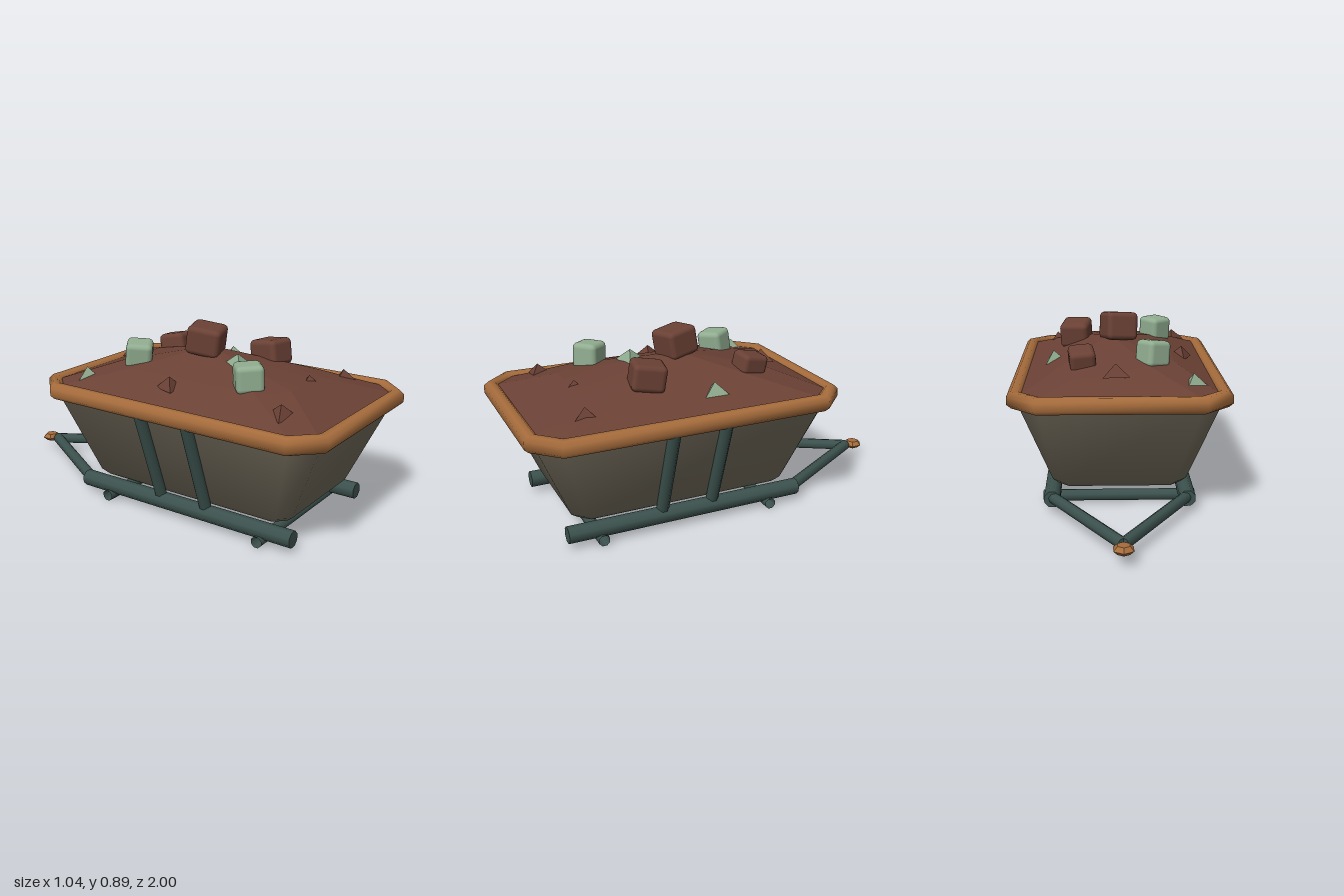
import * as THREE from 'three';
import { RoundedBoxGeometry } from 'three/addons/geometries/RoundedBoxGeometry.js';
import { toCreasedNormals } from 'three/addons/utils/BufferGeometryUtils.js';

const MID_Z = 0.22; // centre of the tub along z

const mat = (name, color, side = THREE.FrontSide) => {
  const m = new THREE.MeshStandardMaterial({ color, side });
  m.name = name;
  return m;
};

// Rectangle with cut corners, as eight [x, z] points
function octagon(hx, hz, c) {
  return [[hx, -hz + c], [hx, hz - c], [hx - c, hz], [-hx + c, hz],
    [-hx, hz - c], [-hx, -hz + c], [-hx + c, -hz], [hx - c, -hz]];
}

// Skin through rings of eight points; each ring is a list of [x, y, z]
function loft(rings, closed = false) {
  const pos = rings.flat(2), index = [], n = 8;
  const count = closed ? rings.length : rings.length - 1;
  for (let j = 0; j < count; j++) {
    const lo = j * n, hi = ((j + 1) % rings.length) * n;
    for (let k = 0; k < n; k++) {
      const q = (k + 1) % n;
      index.push(lo + k, hi + k, lo + q, lo + q, hi + k, hi + q);
    }
  }
  const g = new THREE.BufferGeometry();
  g.setAttribute('position', new THREE.Float32BufferAttribute(pos, 3));
  g.setIndex(index);
  g.computeVertexNormals();
  return g;
}

const ring = (hx, hz, c, y, dx = 0, dz = 0) =>
  octagon(hx, hz, c).map(([x, z]) => [x + dx, y, z + MID_Z + dz]);

export function createModel() {
  const model = new THREE.Group();
  model.name = 'oreCart';
  const orange = mat('rust orange', 0xa66c3c);
  const teal = mat('dark teal', 0x3c524e, THREE.DoubleSide);
  const grey = mat('warm grey', 0x777060);
  const brown = mat('earth brown', 0x6b4135);
  const green = mat('pale green', 0x91ad90);

  const add = (name, geometry, material, parent = model) => {
    const m = new THREE.Mesh(geometry, material);
    m.name = name;
    parent.add(m);
    return m;
  };

  // Round bar between two points
  const bar = (name, a, b, r, sides = 8, open = false) => {
    const p = new THREE.Vector3(...a), d = new THREE.Vector3(...b).sub(p);
    const g = new THREE.CylinderGeometry(r, r, d.length(), sides, 1, open, Math.PI / sides);
    const m = add(name, g, teal);
    m.position.copy(p).addScaledVector(d, 0.5);
    m.quaternion.setFromUnitVectors(new THREE.Vector3(0, 1, 0), d.normalize());
    return m;
  };

  // Tapered tub with a bevelled floor
  add('tub', toCreasedNormals(loft([
    ring(0.001, 0.001, 0.0005, 0.11),
    ring(0.295, 0.525, 0.05, 0.11),
    ring(0.322, 0.56, 0.055, 0.14),
    ring(0.475, 0.738, 0.1, 0.56),
  ]), 0.9), grey);

  // Rim: an eight-sided section swept round the opening
  const section = [[0.015, 0.533], [0.035, 0.552], [0.035, 0.59], [0.015, 0.61],
    [-0.015, 0.61], [-0.035, 0.59], [-0.035, 0.552], [-0.015, 0.533]];
  add('rim', loft(section.map(([d, y]) =>
    ring(0.485 + d, 0.745 + d, 0.11 + 0.6 * d, y)), true), orange);

  // Heaped load with a flat-faced crest
  add('load', toCreasedNormals(loft([
    ring(0.455, 0.715, 0.09, 0.595),
    ring(0.26, 0.47, 0.12, 0.685, -0.01),
    ring(0.001, 0.001, 0.0005, 0.77, 0.04, -0.09),
  ]), 0.15), brown);

  // Rails, slanted ribs and hitch arms on both sides
  for (const s of [1, -1]) {
    const side = s > 0 ? 'left' : 'right';
    bar(side + 'Rail', [s * 0.323, 0.07, 0.82], [s * 0.323, 0.07, -0.38], 0.041);
    for (const z of [0.35, 0.09])
      bar(side + 'Rib', [s * 0.315, 0.08, z], [s * 0.482, 0.55, z], 0.03);
    bar(side + 'HitchArm', [s * 0.32, 0.073, -0.36], [0, 0.073, -0.9], 0.028);
  }

  // Axle bars under the rails
  for (const z of [0.66, -0.21])
    bar('crossbar', [-0.373, 0.028, z], [0.373, 0.028, z], 0.028, 8, true);

  // Six-sided hitch knob
  const knob = [[0, -0.019], [0.03, -0.019], [0.05, 0], [0.03, 0.019], [0, 0.019]]
    .map(([x, y]) => new THREE.Vector2(x, y));
  add('hitchKnob', toCreasedNormals(new THREE.LatheGeometry(knob, 6), 0.5), orange)
    .position.set(0, 0.073, -0.95);

  // Rounded boulders: material, size, position, rotation
  [
    [brown, [0.16, 0.14, 0.17], [-0.005, 0.815, 0.135], [0.14, 0.3, 0.03]],
    [brown, [0.15, 0.13, 0.16], [0.215, 0.74, 0.37], [-0.16, -0.18, -0.05]],
    [brown, [0.125, 0.1, 0.14], [0.178, 0.715, -0.18], [-0.2, 0.12, -0.05]],
    [green, [0.13, 0.13, 0.13], [-0.165, 0.73, -0.155], [0.08, 0.6, 0.08]],
    [green, [0.13, 0.13, 0.13], [-0.215, 0.735, 0.505], [-0.06, 0.72, 0.04]],
  ].forEach(([m, size, p, r]) => {
    const b = add('boulder', new RoundedBoxGeometry(...size, 2, 0.025), m);
    b.position.set(...p);
    b.rotation.set(...r);
  });

  // Three-sided shards: material, x, y of the base, z, turn, radius
  [
    [green, -0.345, 0.615, -0.34, 0.5, 0.065],
    [green, 0.325, 0.64, 0.08, 2.6, 0.07],
    [green, -0.06, 0.725, 0.35, 3.3, 0.08],
    [brown, 0.02, 0.66, -0.33, 0.1, 0.075],
    [brown, -0.33, 0.645, 0.15, 1.2, 0.07],
    [brown, -0.33, 0.625, 0.74, 3.0, 0.075],
    [brown, 0.05, 0.65, 0.67, 0.4, 0.07],
    [brown, 0.33, 0.62, 0.71, 2.5, 0.07],
  ].forEach(([m, x, y, z, turn, r]) => {
    const g = new THREE.ConeGeometry(r, 0.06, 3).translate(0, 0.03, 0).toNonIndexed();
    g.computeVertexNormals();
    const s = add('shard', g, m);
    s.position.set(x, y, z);
    s.rotation.y = turn;
  });

  return model;
}
